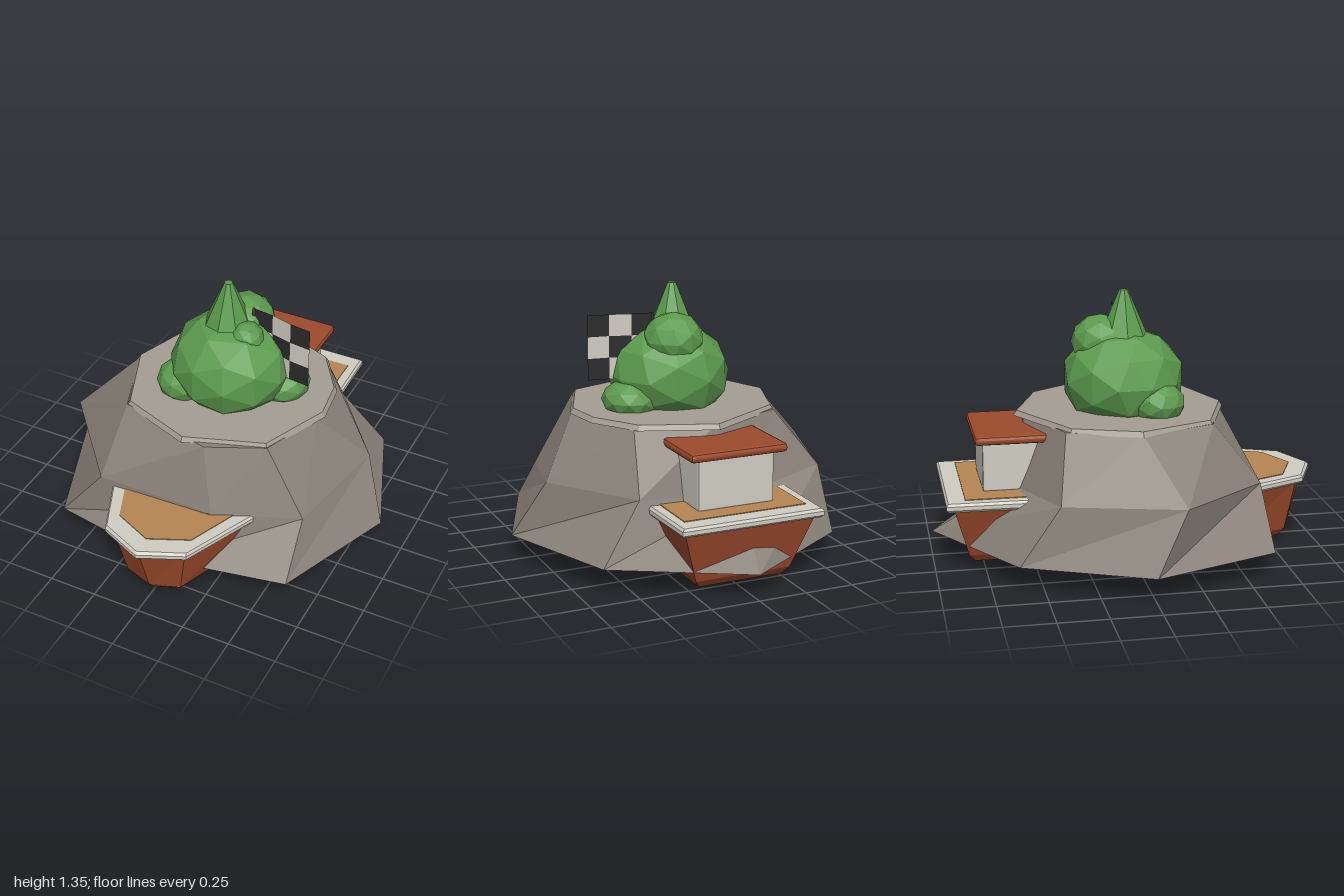
import * as THREE from 'three';
import { RoundedBoxGeometry } from 'three/addons/geometries/RoundedBoxGeometry.js';

const mat = (name, color, side = THREE.FrontSide) => {
  const m = new THREE.MeshStandardMaterial({ color, flatShading: true, side });
  m.name = name;
  return m;
};

// Skin between rings of [x, y, z] points (ordered from +x towards +z), capped at both ends
function loft(rings) {
  const pos = [];
  const tri = (...pts) => pts.forEach((p) => pos.push(...p));
  const mid = (r) => [0, 1, 2].map((k) => r.reduce((s, p) => s + p[k], 0) / r.length);
  const n = rings[0].length;
  const low = rings[0], top = rings[rings.length - 1];
  for (let i = 0; i < n; i++) {
    const j = (i + 1) % n;
    for (let k = 0; k < rings.length - 1; k++) {
      const a = rings[k], b = rings[k + 1];
      tri(a[i], b[i], a[j]);
      tri(b[i], b[j], a[j]);
    }
    tri(mid(low), low[i], low[j]);
    tri(mid(top), top[j], top[i]);
  }
  const g = new THREE.BufferGeometry();
  g.setAttribute('position', new THREE.Float32BufferAttribute(pos, 3));
  g.computeVertexNormals();
  return g;
}

const level = (y, pts) => pts.map(([x, z]) => [x, y, z]);

// Symmetric boat outline: half points from stern to bow, plus the bow tip
const boat = (y, half, bow) => level(y, [
  ...half, [0, bow], ...[...half].reverse().map(([x, z]) => [-x, z]),
]);

export function createModel() {
  const rock = mat('rock grey', 0x8a8279);
  const ledge = mat('pale rock', 0xa39d93);
  const red = mat('rust red', 0x9c4a2c);
  const cream = mat('cream', 0xcfccc1);
  const wood = mat('deck wood', 0xb58552);
  const green = mat('foliage green', 0x5c9a4e);
  const dark = mat('dark metal', 0x4c4c4a);
  const black = mat('flag black', 0x2b2b2b, THREE.DoubleSide);
  const white = mat('flag white', 0xd0ccc2, THREE.DoubleSide);

  const model = new THREE.Group();
  const add = (name, geo, m, x = 0, y = 0, z = 0) => {
    const mesh = new THREE.Mesh(geo, m);
    mesh.name = name;
    mesh.position.set(x, y, z);
    model.add(mesh);
    return mesh;
  };

  // Rocky island with a slightly overhanging flat top
  add('island', loft([
    level(0.13, [[0.88, 0], [0.63, 0.63], [0, 0.75], [-0.64, 0.64], [-0.88, 0], [-0.61, -0.62], [0, -1], [0.64, -0.64]]),
    [[0.74, 0.43, -0.14], [0.61, 0.37, 0.4], [0.2, 0.4, 0.6], [-0.41, 0.42, 0.62], [-0.81, 0.44, 0.16],
      [-0.63, 0.43, -0.42], [-0.1, 0.39, -0.6], [0.42, 0.42, -0.56]],
    level(0.73, [[0.52, 0.06], [0.4, 0.38], [0.12, 0.51], [-0.38, 0.38], [-0.52, 0], [-0.4, -0.36], [0, -0.51], [0.38, -0.4]]),
  ]), rock);
  const rim = [[0.55, 0.02], [0.4, 0.38], [0, 0.52], [-0.38, 0.38], [-0.53, 0], [-0.41, -0.34], [0, -0.57], [0.37, -0.43], [0.52, -0.2]];
  add('islandTop', loft([
    level(0.722, rim),
    level(0.748, rim.map(([x, z]) => [x * 0.97, z * 0.97])),
  ]), ledge);

  // Hull with a chamfered bottom
  add('hull', loft([
    boat(0.035, [[0.22, -0.8], [0.235, 0.5], [0.13, 0.8]], 0.85),
    boat(0.075, [[0.25, -0.83], [0.275, 0.5], [0.15, 0.83]], 0.88),
    boat(0.345, [[0.34, -0.905], [0.38, 0.48], [0.2, 0.87]], 0.965),
  ]), red);
  add('hullRim', loft([
    boat(0.342, [[0.36, -0.93], [0.395, 0.48], [0.215, 0.89]], 0.985),
    boat(0.355, [[0.37, -0.945], [0.405, 0.48], [0.225, 0.9]], 1.0),
    boat(0.375, [[0.37, -0.945], [0.405, 0.48], [0.225, 0.9]], 1.0),
    boat(0.388, [[0.36, -0.935], [0.395, 0.48], [0.22, 0.89]], 0.985),
  ]), cream);
  const deckHalf = [[0.32, -0.85], [0.33, 0.48], [0.2, 0.8]];
  add('deck', loft([boat(0.386, deckHalf, 0.89), boat(0.392, deckHalf, 0.89)]), wood);
  add('keelPlate', new RoundedBoxGeometry(0.25, 0.05, 0.2, 1, 0.012), dark, 0, 0.025, 0);

  // Cabin at the stern
  add('cabin', new RoundedBoxGeometry(0.4, 0.27, 0.45, 1, 0.012), cream, 0, 0.52, -0.525);
  add('cabinRoof', new RoundedBoxGeometry(0.51, 0.045, 0.52, 1, 0.018), red, 0, 0.662, -0.53);

  // Bushes: [x, y, z, horizontal radius, vertical radius, turn]
  [
    [0.02, 0.89, 0, 0.315, 0.27, 0.3],
    [0.04, 1.08, -0.11, 0.155, 0.14, 0.8],
    [0.12, 1.08, 0.04, 0.09, 0.09, 0.2],
    [-0.18, 0.8, 0.14, 0.14, 0.11, 0.5],
    [0.26, 0.79, -0.08, 0.15, 0.1, 1.1],
  ].forEach(([x, y, z, r, h, turn], i) => {
    const bush = add('bush' + (i + 1), new THREE.IcosahedronGeometry(1, i === 0 ? 1 : 0), green, x, y, z);
    if (i > 0) bush.geometry = new THREE.IcosahedronGeometry(1, 1);
    bush.scale.set(r, h, r);
    bush.rotation.y = turn;
  });
  add('treeTop', new THREE.CylinderGeometry(0.022, 0.155, 0.31, 8), green, 0, 1.195, 0);

  // Chequered flag, gently slanted, on a thin pole
  add('flagPole', new THREE.CylinderGeometry(0.008, 0.008, 0.46, 6), dark, 0.12, 0.98, -0.04);
  const zs = [-0.04, -0.025, 0.005, 0.02];
  for (let c = 0; c < 3; c++) {
    for (let r = 0; r < 3; r++) {
      const dz = zs[c + 1] - zs[c];
      const square = add('flagSquare', new THREE.PlaneGeometry(Math.hypot(0.11, dz), 0.11),
        (c + r) % 2 ? white : black, 0.175 + c * 0.11, 0.935 + r * 0.11, (zs[c] + zs[c + 1]) / 2);
      square.rotation.y = -Math.atan2(dz, 0.11);
    }
  }
  return model;
}
